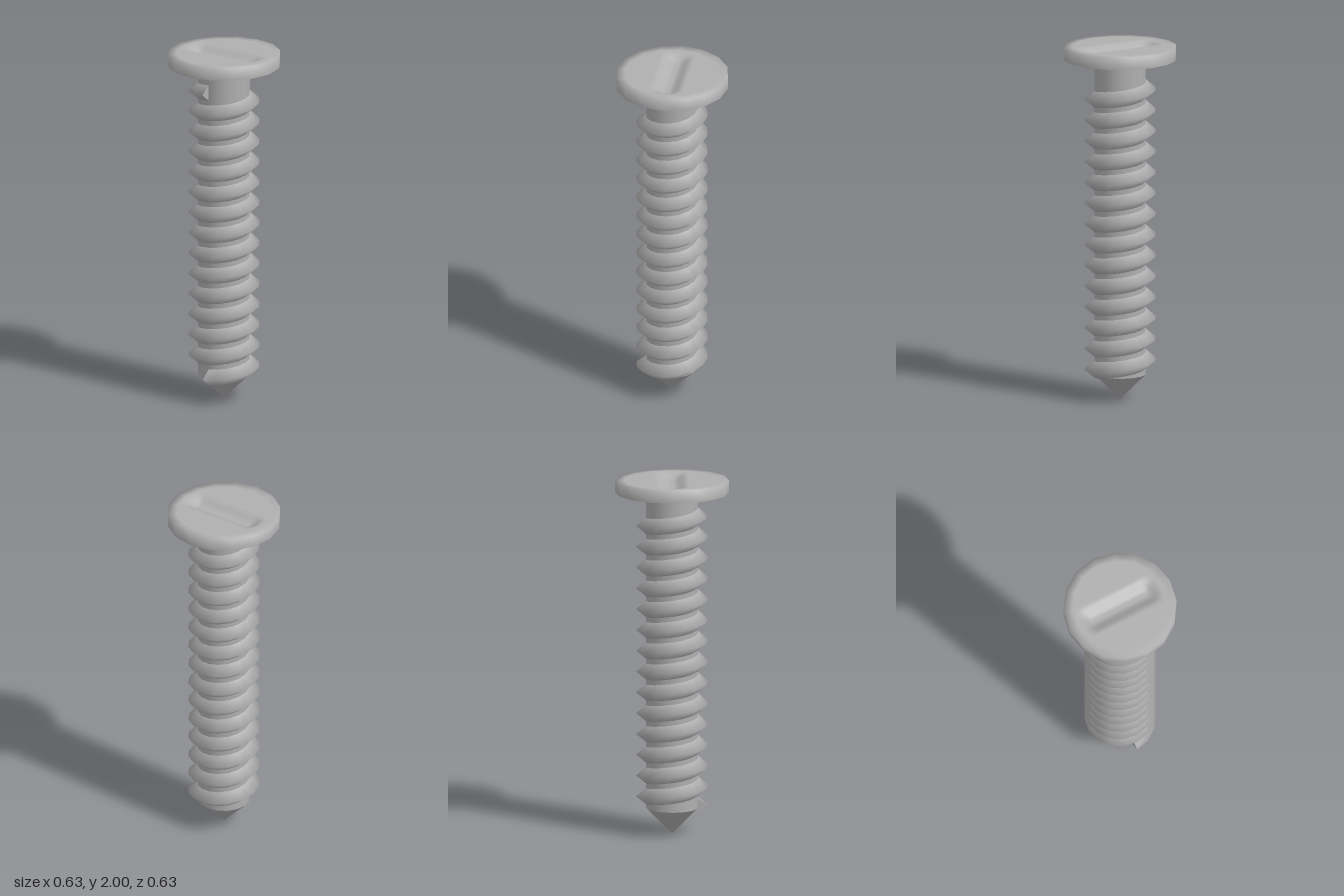
import * as THREE from 'three';

const steel = new THREE.MeshStandardMaterial({ color: 0xb0b0b0 });
steel.name = 'steel grey';

const SIDES = 16, ROOT = 0.145, CREST = 0.2, HEAD = 0.315, PITCH = 0.1177;

function add(group, name, geometry) {
  const mesh = new THREE.Mesh(geometry, steel);
  mesh.name = name;
  group.add(mesh);
  return mesh;
}

function lathe(points, segments) {
  return new THREE.LatheGeometry(points.map(([r, y]) => new THREE.Vector2(r, y)), segments);
}

// Head top: a disc with a polygon outline and a shallow driver groove along z
function grooveDisc(radius) {
  const geometry = new THREE.RingGeometry(0.0005, radius, 96, 24);
  geometry.rotateX(-Math.PI / 2);
  const p = geometry.attributes.position, step = (2 * Math.PI) / SIDES;
  for (let i = 0; i < p.count; i++) {
    let x = p.getX(i), z = p.getZ(i);
    const angle = Math.atan2(z, x) + 2 * Math.PI;
    const k = Math.cos(step / 2) / Math.cos((angle % step) - step / 2);
    x *= k;
    z *= k;
    const across = 1 - THREE.MathUtils.smoothstep(Math.abs(x), 0.01, 0.09);
    const along = 1 - THREE.MathUtils.smoothstep(Math.abs(z), 0.17, 0.25);
    p.setXYZ(i, x, 2 - 0.035 * across * along, z);
  }
  geometry.computeVertexNormals();
  return geometry;
}

// Helical ridge with a triangular section, closed at both ends
function threadGeometry(turns, startAngle, startY) {
  const section = [[ROOT - 0.006, -0.05], [CREST, 0], [ROOT - 0.006, 0.05]];
  const steps = turns * SIDES, positions = [], index = [];
  const ring = (i) => {
    const t = startAngle + (i / SIDES) * 2 * Math.PI;
    for (const [r, dy] of section) {
      positions.push(r * Math.cos(t), startY + (i / SIDES) * PITCH + dy, -r * Math.sin(t));
    }
  };
  for (let i = 0; i <= steps; i++) ring(i);
  for (let i = 0; i < steps; i++) {
    for (let j = 0; j < 2; j++) {
      const a = i * 3 + j, b = a + 3;
      index.push(a, b, b + 1, a, b + 1, a + 1);
    }
  }
  // End caps have their own corners so their edges stay sharp
  const cap = (steps + 1) * 3;
  ring(0);
  ring(steps);
  index.push(cap, cap + 1, cap + 2, cap + 3, cap + 5, cap + 4);
  const geometry = new THREE.BufferGeometry();
  geometry.setAttribute('position', new THREE.Float32BufferAttribute(positions, 3));
  geometry.setIndex(index);
  geometry.computeVertexNormals();
  return geometry;
}

export function createModel() {
  const model = new THREE.Group();
  model.name = 'screw';

  // Head: softly shaded rim, grooved top, flat underside
  const head = new THREE.Group();
  head.name = 'head';
  model.add(head);
  add(head, 'headRim', lathe([[HEAD, 1.93], [HEAD, 2], [0.265, 2]], SIDES));
  add(head, 'headTop', grooveDisc(0.265));
  const under = add(head, 'headUnderside', new THREE.CircleGeometry(HEAD, SIDES));
  under.rotation.x = Math.PI / 2;
  under.position.y = 1.93;

  // Shank and pointed tip
  add(model, 'shank', lathe([[ROOT, 0.145], [ROOT, 1.93]], SIDES));
  add(model, 'tip', lathe([[0, 0], [ROOT, 0.145]], SIDES));

  // Right-handed thread winding up the shank
  add(model, 'thread', threadGeometry(14, -Math.PI, 0.152));

  return model;
}
